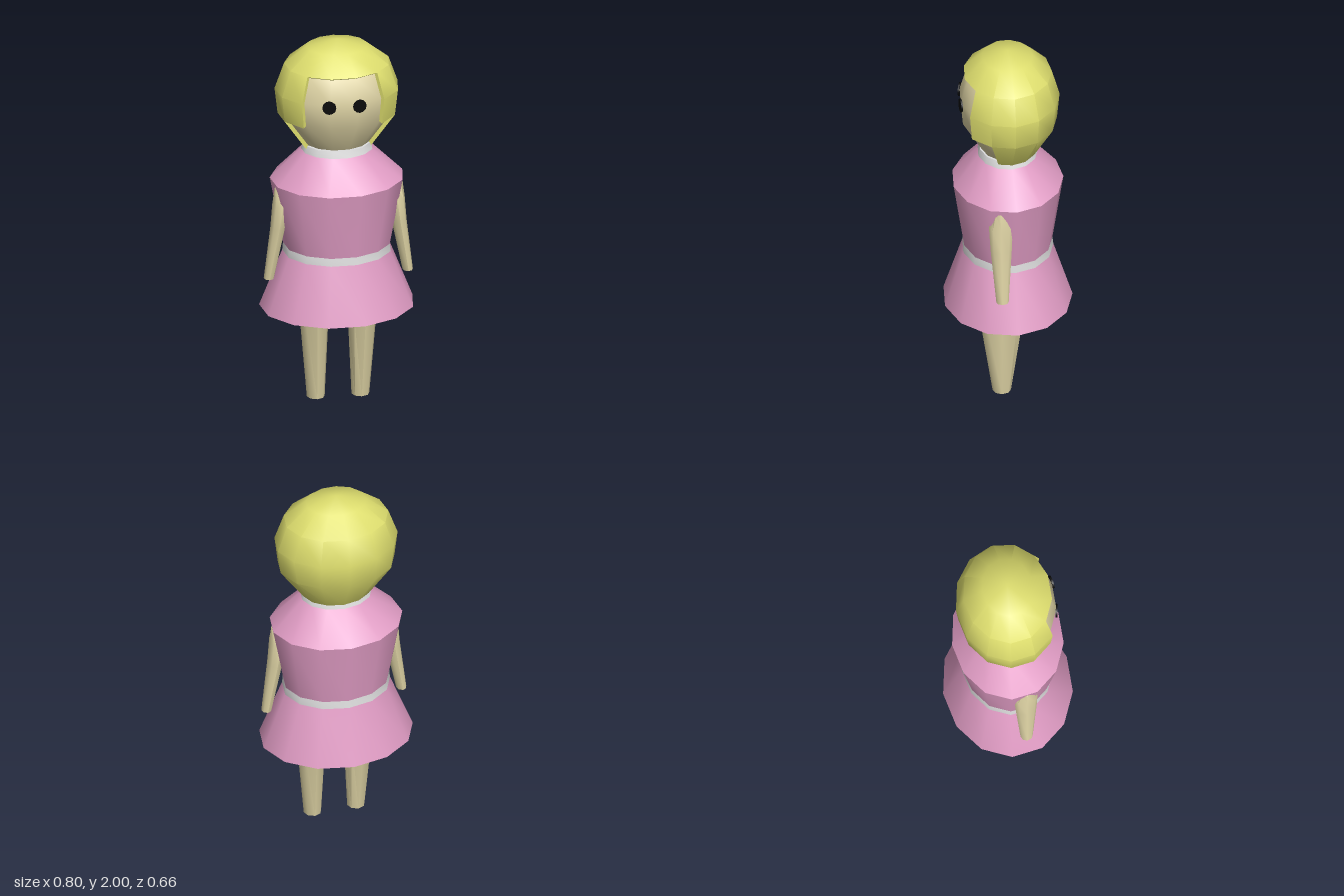
import * as THREE from 'three';
import { toCreasedNormals } from 'three/addons/utils/BufferGeometryUtils.js';

const paint = (name, color, side = THREE.FrontSide) => {
  const m = new THREE.MeshStandardMaterial({ color, side });
  m.name = name;
  return m;
};

// Point k of n on an elliptical ring [y, rx, rz, cx, cz]; point 0 is at the back
function ringPoint([y, rx, rz, cx = 0, cz = 0], k, n) {
  const a = (k / n) * Math.PI * 2;
  return [cx + rx * Math.sin(a), y, cz - rz * Math.cos(a)];
}

// Triangles joining rings listed from bottom to top; radius 0 closes an end
function loft(rings, n, keep = () => true) {
  const out = [];
  for (let i = 0; i < rings.length - 1; i++) {
    for (let k = 0; k < n; k++) {
      if (!keep(i, k)) continue;
      const a = ringPoint(rings[i], k, n), d = ringPoint(rings[i], k + 1, n);
      const b = ringPoint(rings[i + 1], k, n), c = ringPoint(rings[i + 1], k + 1, n);
      if (rings[i + 1][1] > 0) out.push(...a, ...b, ...c);
      if (rings[i][1] > 0) out.push(...a, ...c, ...d);
    }
  }
  return out;
}

function toMesh(name, positions, material, crease) {
  const g = new THREE.BufferGeometry();
  g.setAttribute('position', new THREE.Float32BufferAttribute(positions, 3));
  const mesh = new THREE.Mesh(toCreasedNormals(g, crease), material);
  mesh.name = name;
  return mesh;
}

export function createModel() {
  const model = new THREE.Group();
  model.name = 'doll';
  const pink = paint('pink cloth', 0xe09cc4);
  const white = paint('white trim', 0xdddddd);
  const skin = paint('skin', 0xded3a4);
  const blonde = paint('blonde hair', 0xdede6e, THREE.DoubleSide);
  const black = paint('black eyes', 0x080808);
  const N = 13;
  const body = (name, rings, mat) => model.add(toMesh(name, loft(rings, N), mat, 0.6));

  // Dress, belt and collar
  body('skirt', [[0.43, 0, 0], [0.44, 0.2, 0.155], [0.508, 0.405, 0.337], [0.815, 0.285, 0.238]], pink);
  body('belt', [[0.815, 0.285, 0.238], [0.857, 0.281, 0.233]], white);
  body('bodice', [[0.857, 0.281, 0.233], [1.225, 0.35, 0.29]], pink);
  body('shoulders', [[1.225, 0.35, 0.29], [1.388, 0.188, 0.157]], pink);
  body('collar', [[1.388, 0.188, 0.157], [1.425, 0.176, 0.147], [1.426, 0, 0]], white);

  // Hair shell, with the head filling its inside
  const outer = [
    [1.41, 0.182, 0.151], [1.59, 0.309, 0.257], [1.73, 0.325, 0.27],
    [1.87, 0.276, 0.23], [1.965, 0.159, 0.132], [2, 0, 0],
  ];
  const inner = outer.map(([y, rx, rz]) => [1.72 + (y - 1.72) * 0.935, rx * 0.935, rz * 0.935]);
  model.add(toMesh('head', loft(inner, N), skin, 0.65));

  // Leave the face open: wide below the cheeks, narrower under the fringe
  const keep = (row, col) => {
    if (row === 0) return col < 4 || col > 8;
    if (row < 3) return col < 5 || col > 7;
    return true;
  };
  const hair = loft(outer, N, keep);

  // Thickness of the cut edge, round the face and along the nape
  const edge = [[0, 9], [1, 9], [1, 8], [2, 8], [3, 8], [3, 7], [3, 6], [3, 5], [2, 5], [1, 5], [1, 4]];
  for (let k = 4; k >= -3; k--) edge.push([0, k]);
  edge.forEach(([r0, k0], i) => {
    const [r1, k1] = edge[(i + 1) % edge.length];
    const a = ringPoint(outer[r0], k0, N), b = ringPoint(outer[r1], k1, N);
    const c = ringPoint(inner[r1], k1, N), d = ringPoint(inner[r0], k0, N);
    hair.push(...a, ...c, ...b, ...a, ...d, ...c);
  });
  model.add(toMesh('hair', hair, blonde, 0.65));

  // Paired eyes, arms and legs
  for (const side of [1, -1]) {
    const prefix = side > 0 ? 'left' : 'right';

    const eye = new THREE.Mesh(new THREE.CylinderGeometry(0.036, 0.036, 0.009, 12).rotateX(Math.PI / 2), black);
    eye.name = prefix + 'Eye';
    eye.position.set(side * 0.08, 1.72, 0.245);
    eye.rotation.y = side * 0.2;
    model.add(eye);

    const arm = [
      [0.688, 0, 0, side * 0.364, 0.04],
      [0.69, 0.027, 0.032, side * 0.364, 0.04],
      [0.98, 0.04, 0.055, side * 0.317, 0.045],
      [1.11, 0.046, 0.062, side * 0.301, 0.046],
      [1.2, 0.045, 0.03, side * 0.29, 0.05],
      [1.21, 0, 0, side * 0.29, 0.05],
    ];
    model.add(toMesh(prefix + 'Arm', loft(arm, 8), skin, 0.9));

    const leg = [
      [0, 0, 0, side * 0.117, 0.034],
      [0.003, 0.047, 0.048, side * 0.117, 0.034],
      [0.46, 0.076, 0.115, side * 0.126, 0.036],
    ];
    model.add(toMesh(prefix + 'Leg', loft(leg, 8), skin, 0.9));
  }
  return model;
}
